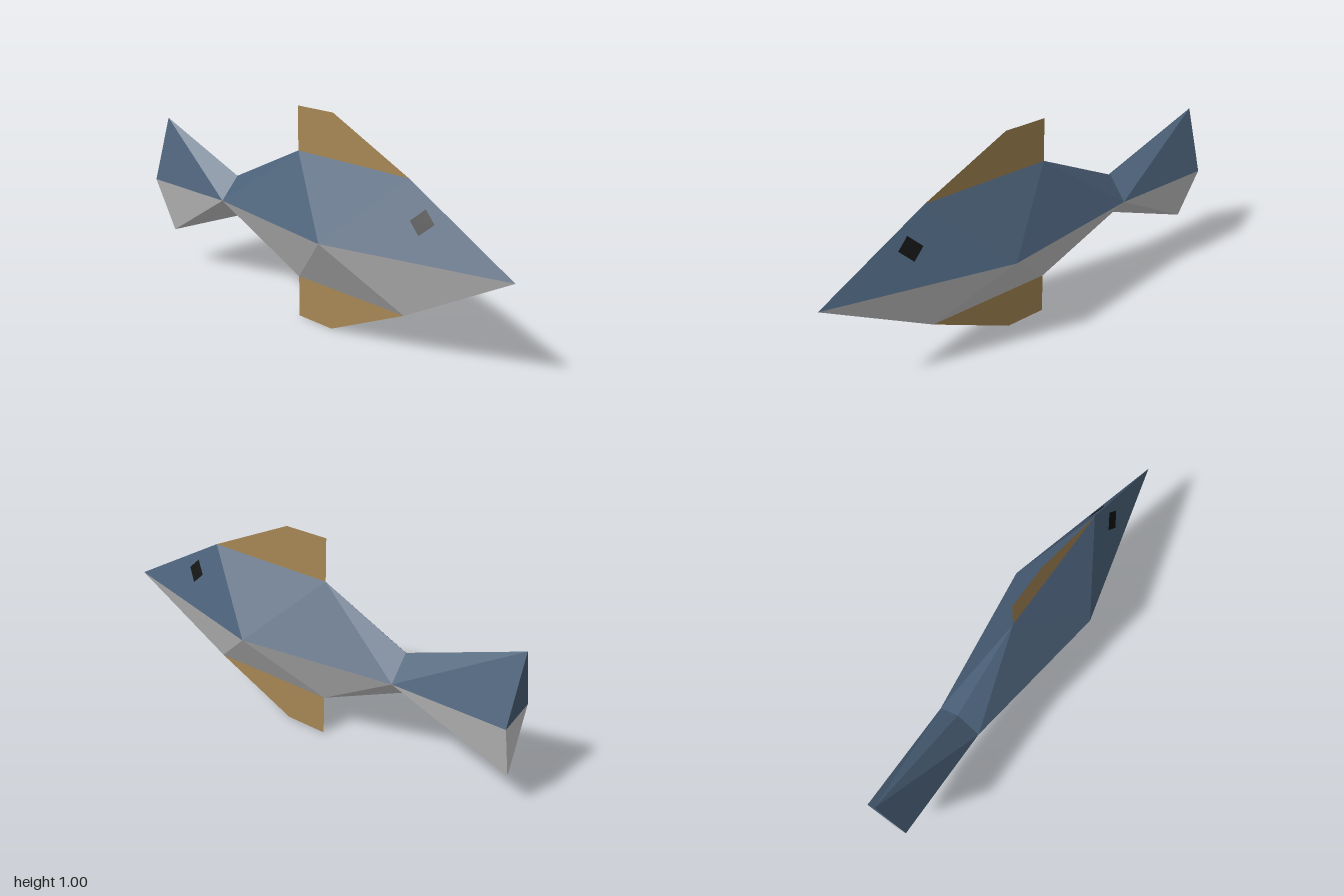
import * as THREE from 'three';

const MID = 0.5; // height of the fish's centre line

const mat = (name, color, extra = {}) => new THREE.MeshStandardMaterial({ name, color, ...extra });

// Corners of one quarter of the body (upper, +z), heights relative to the centre line
const tailTip = [-1, 0.3, 0], tailSide = [-1, 0, 0.1], tailCentre = [-1, 0, 0];
const waistTop = [-0.5, 0.1, 0], waistSide = [-0.5, 0, 0.1];
const ridgeBack = [-0.1, 0.3, 0], ridgeFront = [0.5, 0.3, 0];
const flank = [0.2, 0, 0.2], nose = [1, 0, 0];

const TAIL = [
  [tailSide, waistSide, tailTip],
  [waistSide, waistTop, tailTip],
  [tailTip, tailCentre, tailSide], // end cap
];
const BODY = [
  [waistSide, ridgeBack, waistTop],
  [waistSide, flank, ridgeBack],
  [flank, ridgeFront, ridgeBack],
  [flank, nose, ridgeFront],
];

// Mirrors the quarter across z, and down when sy = -1, keeping faces outward
function halfShell(faces, sy) {
  const pos = [];
  for (const sz of [1, -1]) {
    for (const [a, b, c] of faces) {
      const tri = sy * sz > 0 ? [a, b, c] : [a, c, b];
      for (const [x, y, z] of tri) pos.push(x, MID + y * sy, z * sz);
    }
  }
  const g = new THREE.BufferGeometry();
  g.setAttribute('position', new THREE.Float32BufferAttribute(pos, 3));
  g.computeVertexNormals();
  return g;
}

// Flat fin in the middle plane
function finGeometry(sy) {
  const pts = [[-0.1, 0.3], [0.5, 0.3], [0.1, 0.5], [-0.1, 0.5]];
  return new THREE.ShapeGeometry(new THREE.Shape(pts.map(([x, y]) => new THREE.Vector2(x, MID + y * sy))));
}

// Diamond lying just above the slanted head face
function eyeGeometry(sz) {
  const g = new THREE.CircleGeometry(0.05, 4);
  const p = g.attributes.position;
  for (let i = 0; i < p.count; i++) {
    const x = 0.6 + p.getX(i), y = 0.15 + p.getY(i);
    p.setXYZ(i, x, MID + y, sz * (0.25 * (1 - x) - y / 2.4 + 0.003));
  }
  g.computeVertexNormals();
  return g;
}

export function createModel() {
  const back = mat('slate blue', 0x4a6078, { flatShading: true });
  const belly = mat('silver grey', 0xcccccc, { flatShading: true });
  const finMat = mat('ochre', 0xa88855, { side: THREE.DoubleSide });
  const black = mat('eye black', 0x111111, { side: THREE.DoubleSide });

  const fish = new THREE.Group();
  fish.name = 'fish';
  const add = (name, geometry, material) => {
    const m = new THREE.Mesh(geometry, material);
    m.name = name;
    fish.add(m);
  };

  // Body and tail, dark above and pale below
  add('upperBody', halfShell(BODY, 1), back);
  add('lowerBody', halfShell(BODY, -1), belly);
  add('upperTail', halfShell(TAIL, 1), back);
  add('lowerTail', halfShell(TAIL, -1), belly);

  // Fins
  add('dorsalFin', finGeometry(1), finMat);
  add('bellyFin', finGeometry(-1), finMat);

  // Eyes
  add('frontEye', eyeGeometry(1), black);
  add('backEye', eyeGeometry(-1), black);
  return fish;
}
